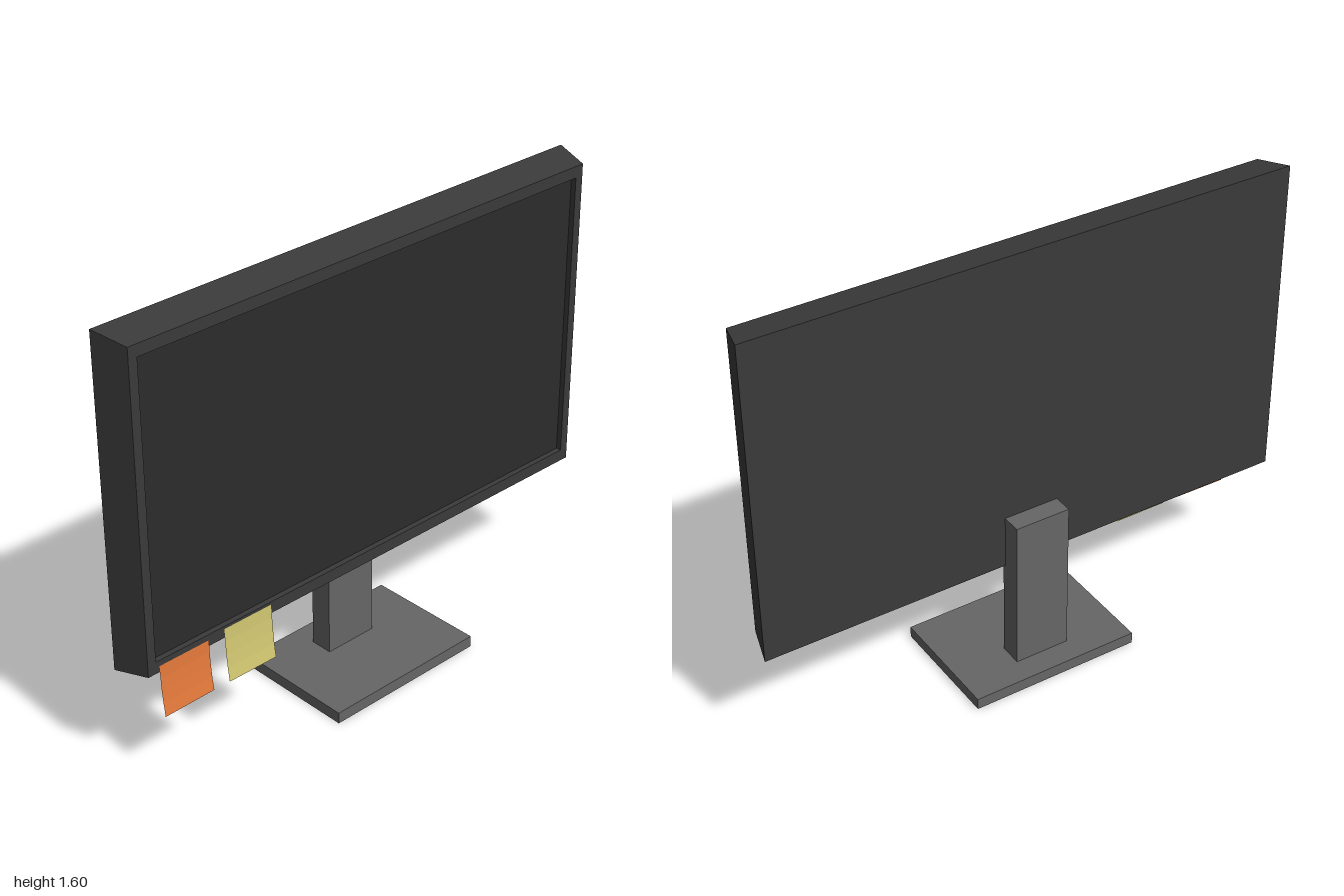
import * as THREE from 'three';

const mat = (color, extra = {}) => new THREE.MeshStandardMaterial({ color, flatShading: true, ...extra });

function add(parent, name, geometry, material, x = 0, y = 0, z = 0) {
  const mesh = new THREE.Mesh(geometry, material);
  mesh.name = name;
  mesh.position.set(x, y, z);
  parent.add(mesh);
  return mesh;
}

// Rectangle cross-section, counter-clockwise seen from the front
const ring = (hx, y0, y1, z) => [[-hx, y0, z], [hx, y0, z], [hx, y1, z], [-hx, y1, z]];

// Joins successive rings with quads, closing the first ring as a back cap
function loftRings(rings) {
  const pos = [];
  const quad = (a, b, c, d) => pos.push(...a, ...b, ...c, ...a, ...c, ...d);
  const [p, q, r, s] = rings[0];
  quad(q, p, s, r);
  for (let k = 0; k < rings.length - 1; k++) {
    for (let i = 0; i < 4; i++) {
      const j = (i + 1) % 4;
      quad(rings[k][i], rings[k][j], rings[k + 1][j], rings[k + 1][i]);
    }
  }
  const g = new THREE.BufferGeometry();
  g.setAttribute('position', new THREE.Float32BufferAttribute(pos, 3));
  g.computeVertexNormals();
  return g;
}

// Paper note: fixed at the top, curling forward towards the bottom
function noteGeometry(w, h, curl, twist) {
  const g = new THREE.PlaneGeometry(w, h, 1, 4);
  const p = g.attributes.position;
  for (let i = 0; i < p.count; i++) {
    const t = 0.5 - p.getY(i) / h;
    p.setZ(i, curl * t * t);
    p.setY(i, p.getY(i) + twist * t * p.getX(i));
  }
  g.computeVertexNormals();
  return g;
}

export function createModel() {
  const model = new THREE.Group();
  model.name = 'monitor';
  const standMat = mat(0x666666);

  // Stand
  add(model, 'base', new THREE.BoxGeometry(0.632, 0.042, 0.446), standMat, 0, 0.021, 0);
  add(model, 'stem', new THREE.BoxGeometry(0.204, 0.57, 0.083), standMat, 0, 0.327, -0.092);

  // Tapered housing with bezel and recess walls
  const display = new THREE.Group();
  display.name = 'display';
  model.add(display);
  add(display, 'housing', loftRings([
    ring(1, 0.415, 1.595, -0.062),
    ring(0.967, 0.435, 1.573, 0.066),
    ring(0.935, 0.478, 1.531, 0.066),
    ring(0.935, 0.478, 1.531, 0.046),
  ]), mat(0x3a3a3a));
  add(display, 'screen', new THREE.PlaneGeometry(1.87, 1.053), mat(0x2c2c2c), 0, 1.0045, 0.046);

  // Sticky notes on the lower bezel
  const notes = [
    ['orangeNote', 0xe67a3c, -0.825, 0.367, 0.185, 0.012],
    ['yellowNote', 0xd2c872, -0.5625, 0.372, 0.197, -0.008],
  ];
  for (const [name, color, x, y, h, twist] of notes) {
    add(display, name, noteGeometry(0.198, h, 0.016, twist),
      mat(color, { side: THREE.DoubleSide }), x, y, 0.069);
  }
  return model;
}
